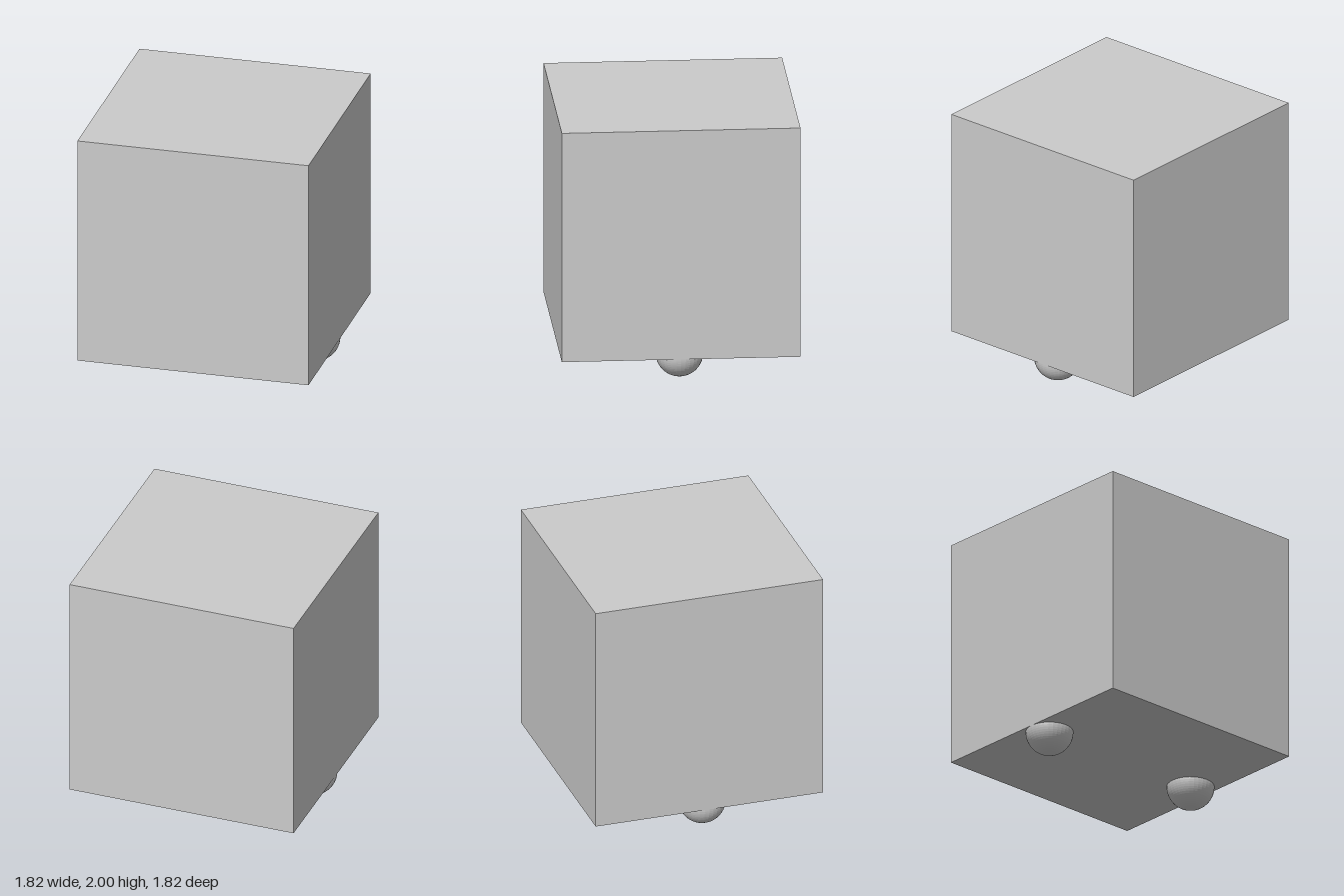
import * as THREE from 'three';

export function createModel() {
  const model = new THREE.Group();
  const side = 2 / 1.1; // cube edge
  const radius = side / 10; // foot radius

  // Cube body resting on the middles of the feet
  const body = new THREE.Mesh(
    new THREE.BoxGeometry(side, side, side),
    new THREE.MeshStandardMaterial({ color: 0xcccccc })
  );
  body.name = 'body';
  body.position.y = radius + side / 2;
  model.add(body);

  // Two ball feet, flush with the body's left and right sides
  const footGeometry = new THREE.SphereGeometry(radius, 32, 32);
  const footMaterial = new THREE.MeshStandardMaterial({ color: 0xcccccc, flatShading: true });
  for (const [name, sign] of [['leftFoot', 1], ['rightFoot', -1]]) {
    const foot = new THREE.Mesh(footGeometry, footMaterial);
    foot.name = name;
    foot.position.set(sign * (side / 2 - radius), radius, 0);
    model.add(foot);
  }

  return model;
}
